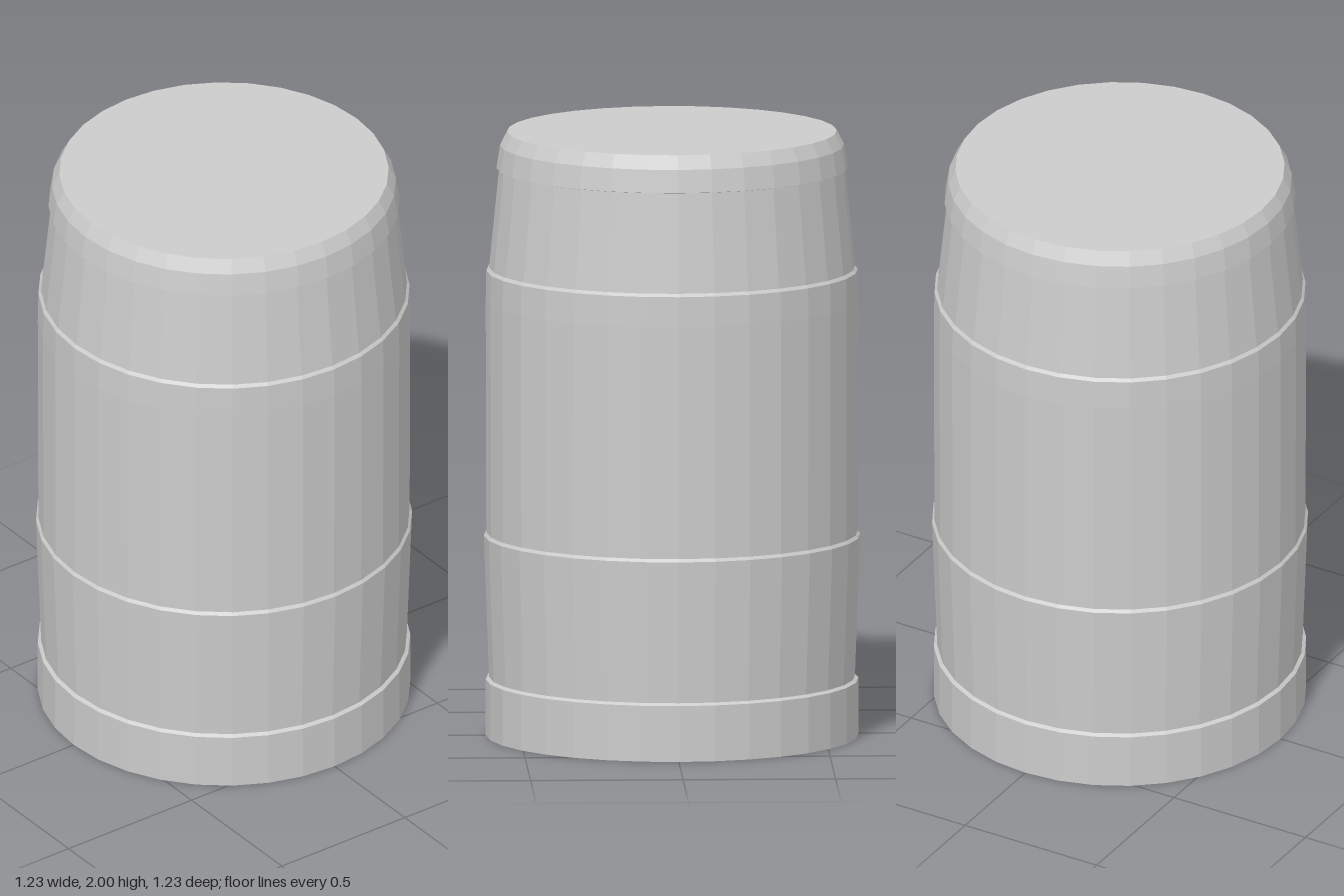
import * as THREE from 'three';

const SIDES = 32;

export function createModel() {
  const model = new THREE.Group();
  model.name = 'barrel';
  const material = new THREE.MeshStandardMaterial({ color: 0xcccccc, flatShading: true });

  // Turns a [radius, height] profile, listed from bottom to top, into a faceted ring
  const turn = (name, profile) => {
    const points = profile.map(([r, y]) => new THREE.Vector2(r, y));
    const mesh = new THREE.Mesh(new THREE.LatheGeometry(points, SIDES), material);
    mesh.name = name;
    model.add(mesh);
  };

  // Base with its flat underside and the small ledge on top
  turn('base', [[0, 0], [0.611, 0], [0.611, 0.09], [0.611, 0.185], [0.6, 0.193]]);

  // Lower band, flaring out towards its rim
  turn('lowerBand', [[0.6, 0.193], [0.614, 0.58], [0.617, 0.662], [0.609, 0.672]]);

  // Straight middle section
  turn('body', [[0.609, 0.672], [0.611, 1.44], [0.609, 1.54], [0.6, 1.55]]);

  // Shoulder narrowing up to the lid
  turn('shoulder', [[0.6, 1.55], [0.567, 1.878]]);

  // Overhanging lid with a bevelled edge and flat top
  turn('lid', [[0.567, 1.878], [0.576, 1.88], [0.564, 1.955], [0.54, 2], [0, 2]]);

  return model;
}
